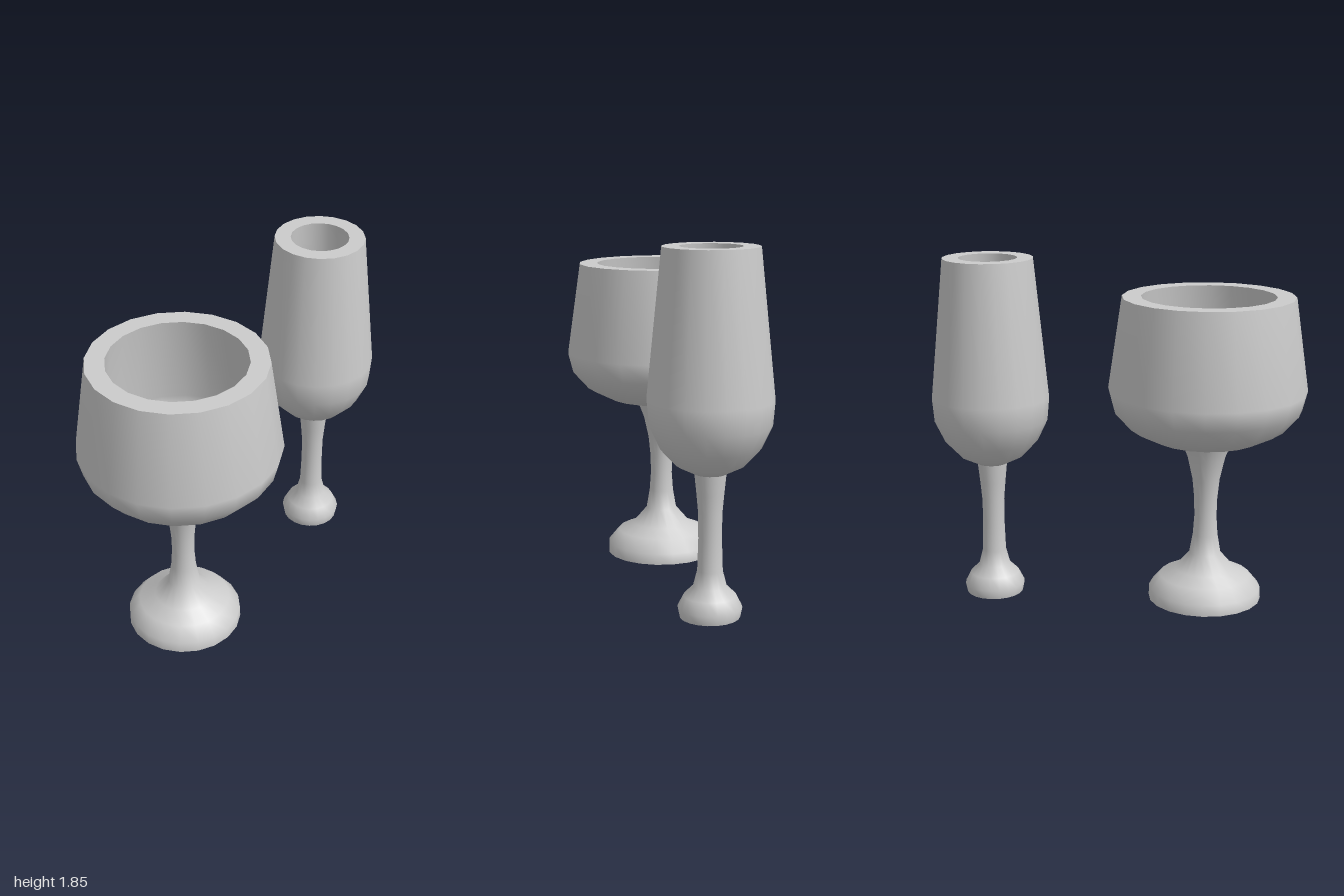
import * as THREE from 'three';

const SIDES = 20;
const material = new THREE.MeshStandardMaterial({ color: 0xcccccc });

// Each section is its own lathe so that the edges between sections stay sharp.
function turned(name, profile) {
  const points = profile.map(([r, y]) => new THREE.Vector2(r, y));
  const mesh = new THREE.Mesh(new THREE.LatheGeometry(points, SIDES), material);
  mesh.name = name;
  return mesh;
}

function makeGlass(name, z, { stem, bowl, cavity }) {
  const glass = new THREE.Group();
  glass.name = name;
  glass.position.z = z;
  glass.add(
    turned('footUnderside', [[0, 0], stem[0]]),
    turned('footAndStem', stem),
    turned('bowl', bowl),
    turned('rim', [bowl[bowl.length - 1], cavity[0]]),
    turned('bowlInside', cavity),
  );
  return glass;
}

export function createModel() {
  const model = new THREE.Group();
  model.name = 'glasses';

  // Wide glass at the front; profiles are [radius, height]
  model.add(makeGlass('wineGlass', 0.473, {
    stem: [[0.305, 0], [0.303, 0.06], [0.245, 0.13], [0.16, 0.167], [0.085, 0.255],
      [0.067, 0.36], [0.06, 0.46], [0.062, 0.56], [0.073, 0.67], [0.1, 0.79], [0.13, 0.867]],
    bowl: [[0, 0.865], [0.13, 0.866], [0.285, 0.9], [0.415, 0.965], [0.5, 1.06],
      [0.527, 1.165], [0.455, 1.66]],
    cavity: [[0.355, 1.66], [0.42, 1.17], [0.4, 1.1], [0.345, 1.035], [0.25, 0.99],
      [0.13, 0.967], [0, 0.965]],
  }));

  // Tall flute at the back
  model.add(makeGlass('flute', -0.685, {
    stem: [[0.153, 0], [0.163, 0.05], [0.133, 0.11], [0.085, 0.157], [0.064, 0.24],
      [0.059, 0.4], [0.06, 0.53], [0.069, 0.63], [0.08, 0.737]],
    bowl: [[0, 0.735], [0.08, 0.735], [0.17, 0.78], [0.25, 0.865], [0.304, 0.98],
      [0.315, 1.105], [0.24, 1.848]],
    cavity: [[0.155, 1.848], [0.23, 1.105], [0.222, 1.01], [0.185, 0.92], [0.13, 0.855],
      [0.075, 0.82], [0, 0.82]],
  }));

  return model;
}
